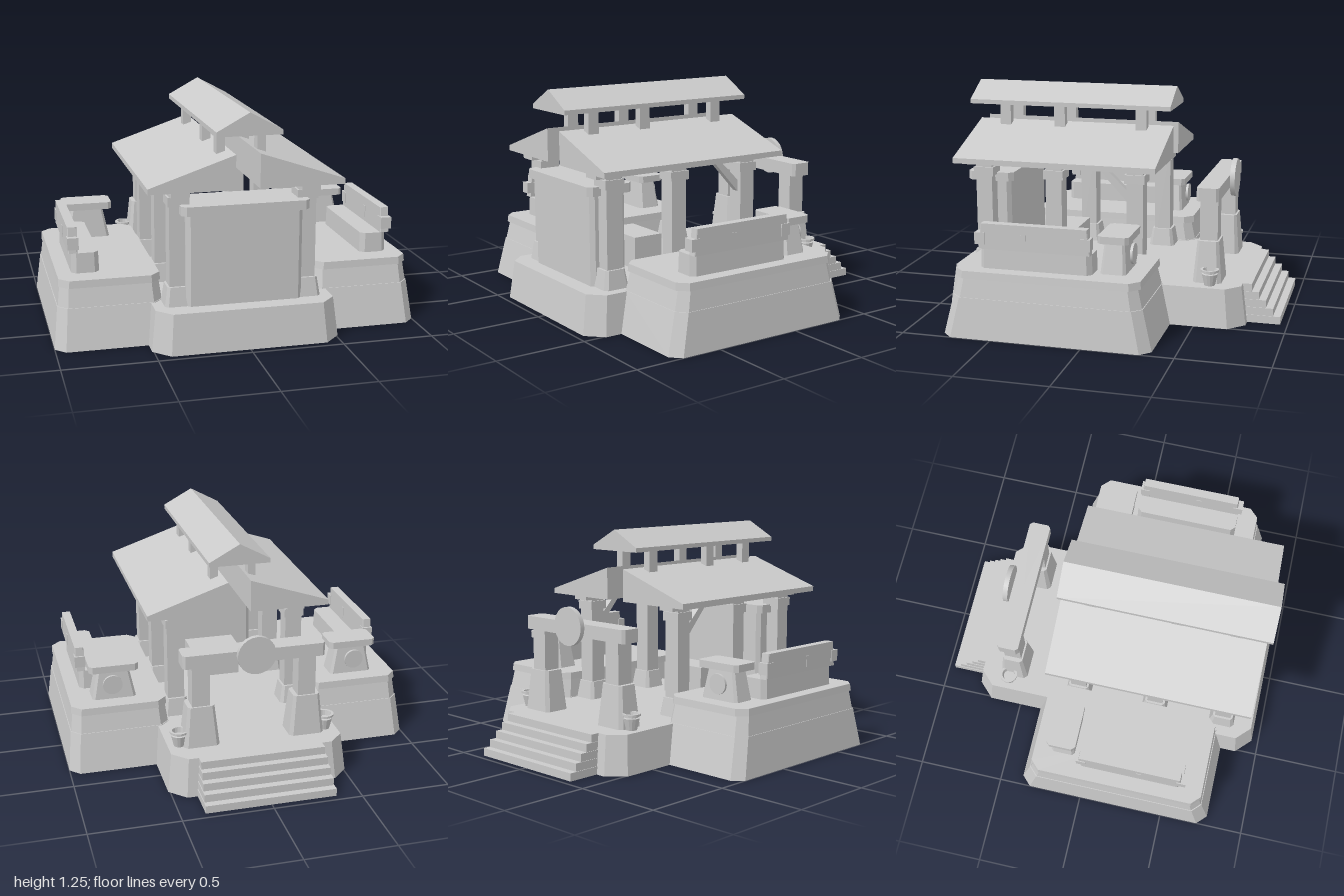
import * as THREE from 'three';

const stone = new THREE.MeshStandardMaterial({ color: 0xcacaca, side: THREE.DoubleSide });
stone.name = 'grey stone';

export function createModel() {
  const model = new THREE.Group();
  model.name = 'shrine';

  const add = (name, geometry, x = 0, y = 0, z = 0) => {
    const mesh = new THREE.Mesh(geometry, stone);
    mesh.name = name;
    mesh.position.set(x, y, z);
    model.add(mesh);
    return mesh;
  };

  // Box given by its limits on each axis
  const box = (name, x0, x1, y0, y1, z0, z1) =>
    add(name, new THREE.BoxGeometry(Math.abs(x1 - x0), y1 - y0, Math.abs(z1 - z0)),
      (x0 + x1) / 2, (y0 + y1) / 2, (z0 + z1) / 2);

  // Tapered block with cut corners; each ring is [y, halfX, halfZ, corner]
  const block = (name, x, z, rings, closed = true) => {
    const loops = rings.map(([y, a, b, c]) => [
      [a, b - c], [a - c, b], [c - a, b], [-a, b - c],
      [-a, c - b], [c - a, -b], [a - c, -b], [a, c - b],
    ].map(([px, pz]) => [px, y, pz]));
    const pos = [];
    const tri = (...pts) => pts.forEach((p) => pos.push(...p));
    for (let r = 0; r + 1 < loops.length; r++) {
      for (let i = 0; i < 8; i++) {
        const j = (i + 1) % 8, lo = loops[r], hi = loops[r + 1];
        tri(lo[i], hi[i], hi[j]);
        tri(lo[i], hi[j], lo[j]);
      }
    }
    const top = loops[loops.length - 1], bottom = loops[0];
    for (let i = 0; i < 8; i++) {
      const j = (i + 1) % 8;
      tri([0, top[0][1], 0], top[j], top[i]);
      if (closed) tri([0, bottom[0][1], 0], bottom[i], bottom[j]);
    }
    const g = new THREE.BufferGeometry();
    g.setAttribute('position', new THREE.Float32BufferAttribute(pos, 3));
    g.computeVertexNormals();
    return add(name, g, x, 0, z);
  };

  // Prism with an x-y outline running from z0 to z1
  const prism = (name, points, z0, z1) => {
    const shape = new THREE.Shape(points.map(([x, y]) => new THREE.Vector2(x, y)));
    return add(name, new THREE.ExtrudeGeometry(shape, { depth: z1 - z0, bevelEnabled: false }), 0, 0, z0);
  };

  // Round plate facing front and back
  const disc = (name, x, y, z, r, depth) => {
    const g = new THREE.CylinderGeometry(r, r, depth, 24);
    g.rotateX(Math.PI / 2);
    return add(name, g, x, y, z);
  };

  // Central platform, hollow underneath
  block('centralPlatform', 0, 0.092, [[0, 0.51, 0.868, 0.088], [0.217, 0.485, 0.838, 0.08]], false);

  // Back stairs
  for (let i = 0; i < 5; i++) {
    const w = 0.365 - i * 0.004;
    box('step', -w, w, 0, 0.0434 * (i + 1), -0.96 + i * 0.041, -0.73);
  }

  // Front enclosure with its cap, and the low table behind it
  block('frontEnclosure', 0, 0.7275, [[0.217, 0.315, 0.108, 0.022], [0.72, 0.315, 0.108, 0.022]]);
  block('enclosureCap', 0, 0.73, [[0.715, 0.345, 0.136, 0.025], [0.765, 0.345, 0.136, 0.025]]);
  box('table', -0.15, 0.15, 0.217, 0.4, 0.28, 0.46);

  // Back gate
  block('gateBeam', 0, -0.548, [[0.68, 0.4, 0.062, 0.015], [0.755, 0.4, 0.062, 0.015]]);
  disc('gateDisc', 0, 0.737, -0.635, 0.108, 0.028);

  // Raised upper roof
  prism('upperRoof', [[-0.175, 1.13], [0.175, 1.13], [0.175, 1.155], [0, 1.25], [-0.175, 1.155]], -0.29, 0.905);

  // Parts mirrored left and right
  for (const s of [1, -1]) {
    // Side platform in two tiers with a lip, hollow underneath
    block('sidePlatformBase', s * 0.695, 0.205, [[0, 0.305, 0.575, 0.055], [0.22, 0.281, 0.522, 0.05]], false);
    block('sidePlatformTier', s * 0.695, 0.205, [[0.22, 0.277, 0.518, 0.05], [0.325, 0.264, 0.494, 0.045]], false);
    block('sidePlatformLip', s * 0.695, 0.205, [[0.325, 0.272, 0.51, 0.052], [0.365, 0.268, 0.506, 0.052]], false);

    // Main roof half
    const slope = [[0.065, 0.845], [0.525, 0.845], [0.525, 0.875], [0.065, 1.03]];
    prism('mainRoof', slope.map(([x, y]) => [s * x, y]), -0.285, 0.88);
    box('roofBeam', s * 0.3, s * 0.4, 0.815, 0.846, -0.235, 0.855);

    // Columns with flared feet and capitals
    for (const z of [0.745, 0.33, -0.14]) {
      block('columnFoot', s * 0.35, z, [[0.217, 0.076, 0.076, 0.018], [0.32, 0.06, 0.06, 0.014]]);
      box('column', s * 0.302, s * 0.398, 0.217, 0.82, z - 0.047, z + 0.047);
      box('capital', s * 0.293, s * 0.407, 0.755, 0.805, z - 0.058, z + 0.058);
    }

    // Diagonal brace from the back column up to the beam
    const bar = [[0.067, 0.815], [0.02, 0.815], [-0.097, 0.7], [-0.097, 0.635]];
    const brace = prism('brace', bar.map(([z, y]) => [-z, y]), 0, 0.04);
    brace.rotation.y = Math.PI / 2;
    brace.position.x = s * 0.35 - 0.02;

    // Struts holding the upper roof
    for (const z of [0.705, 0.375, -0.11]) {
      box('roofStrut', s * 0.087, s * 0.133, 0.98, 1.14, z - 0.032, z + 0.032);
    }

    // Gate post on a tapered pedestal
    block('gatePedestal', s * 0.3, -0.55, [[0.217, 0.1, 0.08, 0.02], [0.45, 0.075, 0.06, 0.015]]);
    box('gatePost', s * 0.25, s * 0.35, 0.44, 0.69, -0.6, -0.5);

    // Round pot beside the gate
    const profile = [[0, 0], [0.03, 0], [0.045, 0.065], [0.036, 0.068], [0.036, 0.075],
      [0.052, 0.078], [0.052, 0.09], [0.038, 0.09], [0.033, 0.06], [0, 0.06]];
    const pot = new THREE.LatheGeometry(profile.map(([r, y]) => new THREE.Vector2(r, y)), 14).toNonIndexed();
    pot.computeVertexNormals();
    add('pot', pot, s * 0.42, 0.217, -0.572);

    // Small altar with a disc on its back
    block('altar', s * 0.71, -0.132, [[0.365, 0.125, 0.07, 0.015], [0.535, 0.09, 0.054, 0.012]]);
    block('altarCap', s * 0.71, -0.135, [[0.533, 0.14, 0.085, 0.02], [0.573, 0.14, 0.085, 0.02]]);
    disc('altarDisc', s * 0.72, 0.457, -0.217, 0.056, 0.014);

    // Bench with a backrest and end blocks
    block('benchSeat', s * 0.81, 0.28, [[0.365, 0.075, 0.31, 0.025], [0.475, 0.072, 0.307, 0.025]]);
    block('benchBack', s * 0.875, 0.28, [[0.475, 0.025, 0.308, 0.004], [0.615, 0.025, 0.292, 0.004]]);
    for (const z of [0.58, -0.002]) {
      box('benchEndBlock', s * 0.845, s * 0.905, 0.5, 0.565, z - 0.028, z + 0.028);
    }
    box('benchMiddleBlock', s * 0.847, s * 0.903, 0.5, 0.565, 0.32, 0.35);
  }
  return model;
}
